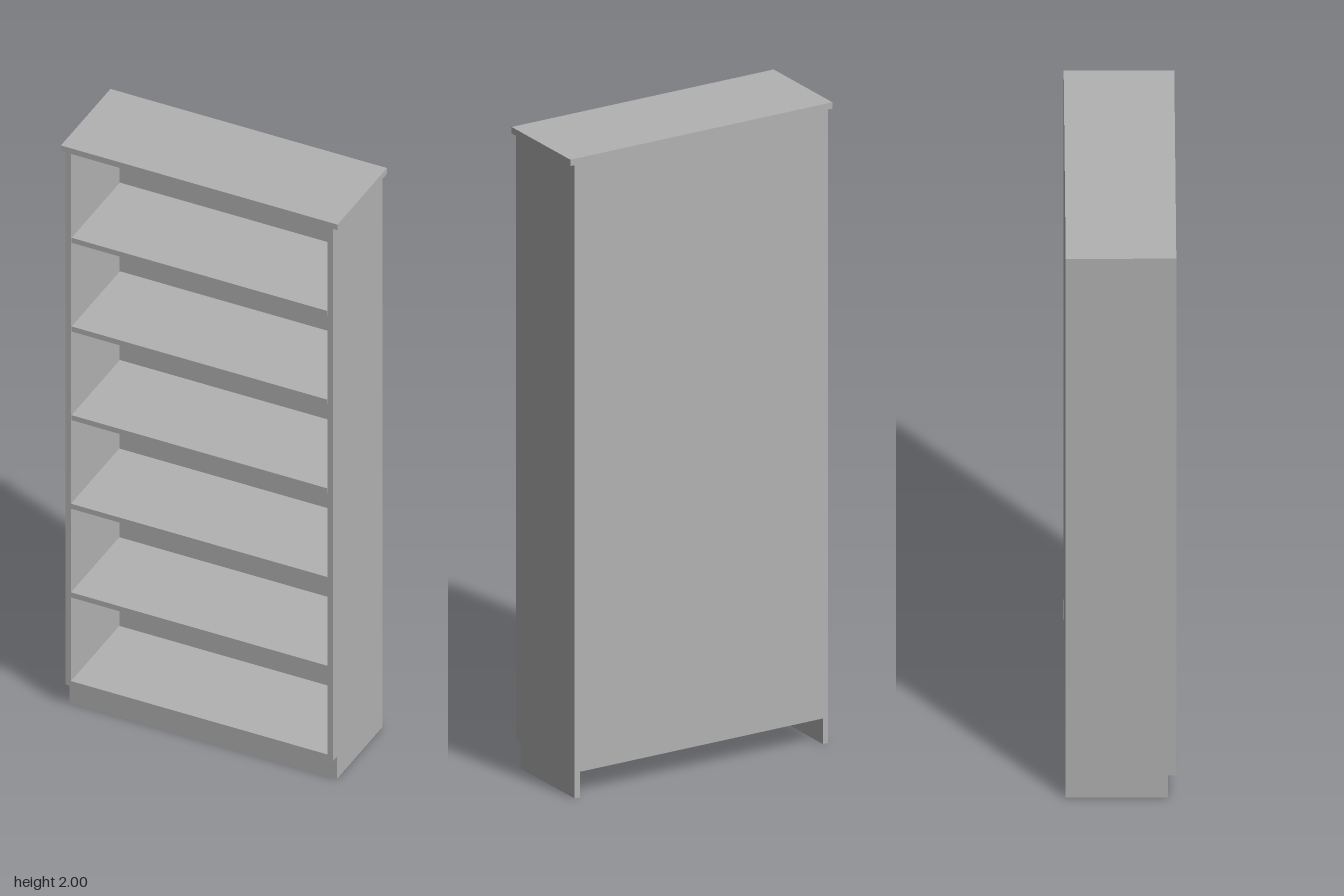
import * as THREE from 'three';

export function createModel() {
  const bookcase = new THREE.Group();
  bookcase.name = 'bookcase';
  const greyBoard = new THREE.MeshStandardMaterial({ color: 0xb2b2b2 });
  greyBoard.name = 'greyBoard';

  // Board given by its lower and upper limits on each axis
  function board(name, [x0, x1], [y0, y1], [z0, z1]) {
    const mesh = new THREE.Mesh(new THREE.BoxGeometry(x1 - x0, y1 - y0, z1 - z0), greyBoard);
    mesh.position.set((x0 + x1) / 2, (y0 + y1) / 2, (z0 + z1) / 2);
    mesh.name = name;
    bookcase.add(mesh);
  }

  const t = 0.018;          // board thickness
  const halfWidth = 0.438;
  const inner = halfWidth - t;
  const front = 0.162;
  const back = -0.162;
  const backInner = back + 0.008;
  const plinthFront = 0.137;
  const base = 0.08;        // plinth height
  const top = 1.98;         // underside of the top board

  // Top board, overhanging the sides
  board('topBoard', [-0.453, 0.453], [top, 2], [back, front]);

  // Side panels and plinth sides
  for (const [side, s] of [['left', 1], ['right', -1]]) {
    const span = s > 0 ? [inner, halfWidth] : [-halfWidth, -inner];
    board(side + 'SidePanel', span, [base, top], [back, front]);
    board(side + 'PlinthSide', span, [0, base], [back, plinthFront - t]);
  }

  // Recessed plinth front; the plinth is open at the back
  board('plinthFront', [-halfWidth, halfWidth], [0, base], [plinthFront - t, plinthFront]);

  // Thin back panel between the sides
  board('backPanel', [-inner, inner], [base, top], [back, backInner]);

  // Bottom board and five evenly spaced shelves
  const pitch = (top - base) / 6;
  for (let i = 0; i < 6; i++) {
    const y = base + i * pitch;
    // The upper three shelves are loose, with a small gap at each end
    const half = i > 2 ? inner - 0.002 : inner;
    board(i === 0 ? 'bottomBoard' : 'shelf' + i, [-half, half], [y, y + t], [backInner, front]);
  }

  return bookcase;
}
